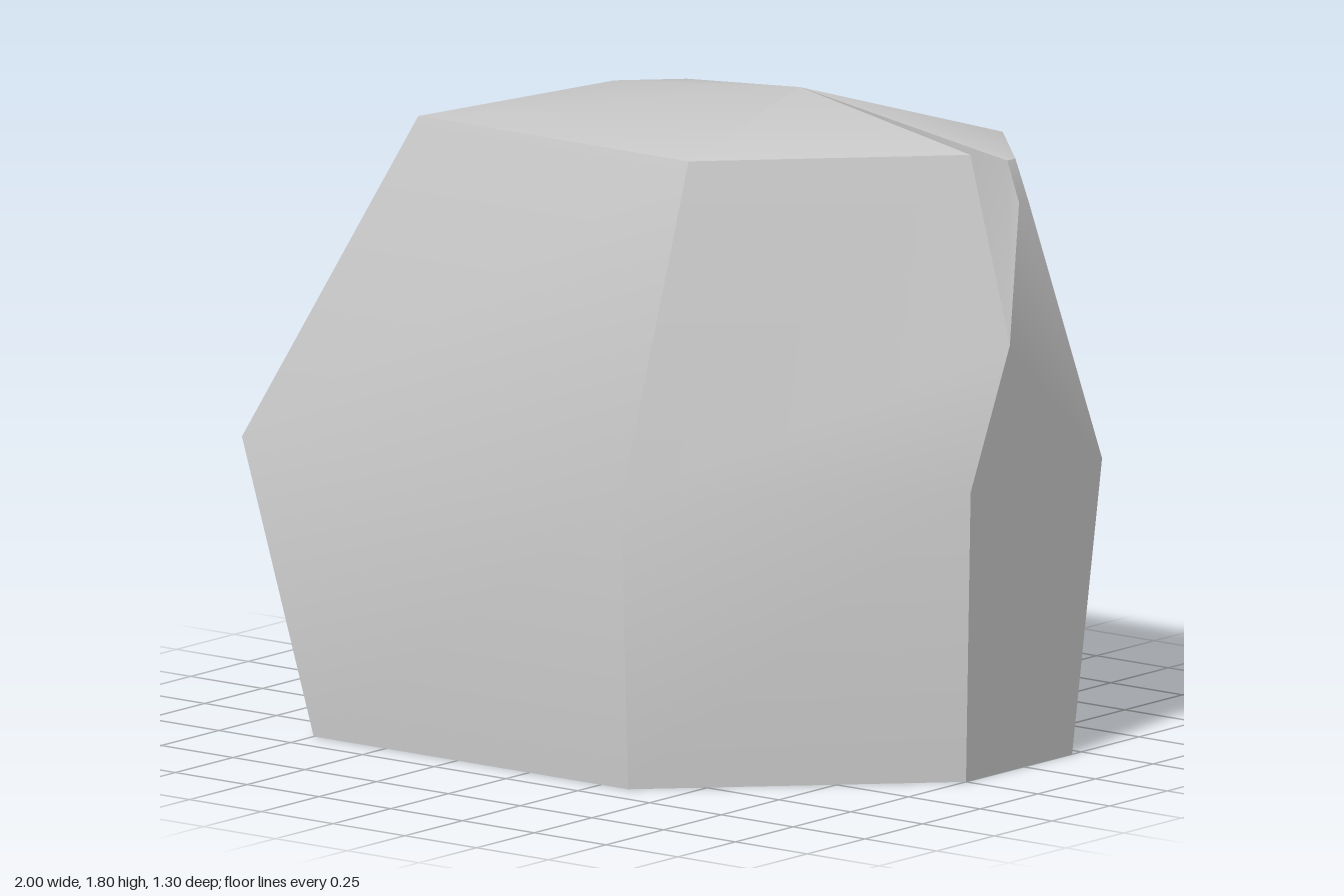
import * as THREE from 'three';
import { toCreasedNormals } from 'three/addons/utils/BufferGeometryUtils.js';

export function createModel() {
  const stone = new THREE.MeshStandardMaterial({ color: 0xc8c8c8 });
  stone.name = 'stoneGrey';

  // Cross-sections, counter-clockwise from the front left corner, as [x, z]
  const ring = (y, pts) => pts.map(([x, z]) => [x, y, z]);
  const base = ring(0, [[-0.75, 0.65], [0.345, 0.65], [1, 0], [1, -0.46], [0.89, -0.57], [-0.38, -0.57], [-0.57, -0.38]]);
  const waist = ring(0.8, [[-1, 0.65], [0.32, 0.65], [1, -0.02], [1, -0.59], [0.94, -0.65], [-0.6, -0.65], [-0.8, -0.45]]);
  const rim = ring(1.68, [[-0.655, 0.315], [0.287, 0.315], [0.83, -0.23], [0.955, -0.235], [0.955, -0.27], [0.71, -0.52], [-0.39, -0.52], [-0.53, -0.38]]);
  const peak = [0.27, 1.8, -0.19];

  // Corners of the notch high on the flat +x side
  const notchLow = [1, 1.18, -0.19];
  const notchFront = [1, 1.57, -0.23];
  const notchBack = [1, 1.57, -0.27];

  const positions = [];
  // Fan of triangles over one polygon
  const face = (...p) => {
    for (let i = 1; i < p.length - 1; i++) positions.push(...p[0], ...p[i], ...p[i + 1]);
  };

  // Underside
  face(...[...base].reverse());

  // Lower sides; the flat +x side is made in one piece below
  for (let i = 0; i < 7; i++) {
    const j = (i + 1) % 7;
    if (i !== 2) face(base[i], base[j], waist[j], waist[i]);
  }

  // Upper front, back, back left corner and left side
  face(waist[0], waist[1], rim[1], rim[0]);
  face(waist[4], waist[5], rim[6], rim[5]);
  face(waist[5], waist[6], rim[7], rim[6]);
  face(waist[6], waist[0], rim[0], rim[7]);

  // Slanted front corner, flat +x side and back corner
  face(waist[1], waist[2], notchLow, rim[2], rim[1]);
  face(waist[3], notchBack, notchFront, notchLow, waist[2], base[2], base[3]);
  face(waist[3], waist[4], rim[5], rim[4], notchBack);

  // Notch
  face(notchLow, notchFront, rim[3], rim[2]);
  face(notchFront, notchBack, rim[4], rim[3]);

  // Low cap
  rim.forEach((p, i) => face(p, rim[(i + 1) % rim.length], peak));

  const geometry = new THREE.BufferGeometry();
  geometry.setAttribute('position', new THREE.Float32BufferAttribute(positions, 3));
  const rock = new THREE.Mesh(toCreasedNormals(geometry, THREE.MathUtils.degToRad(35)), stone);
  rock.name = 'rock';

  const group = new THREE.Group();
  group.name = 'boulder';
  group.add(rock);
  return group;
}
